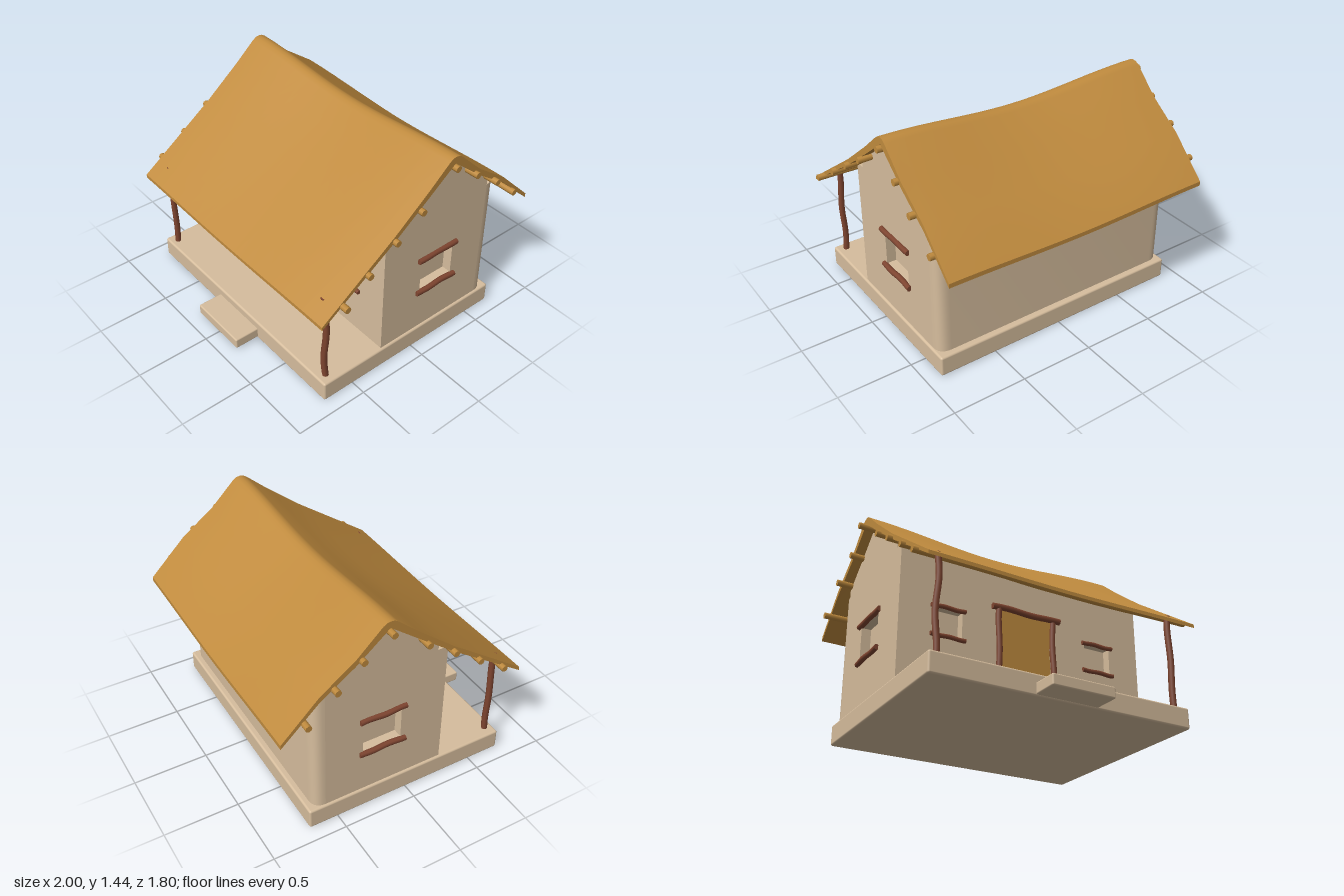
import * as THREE from 'three';
import { toCreasedNormals } from 'three/addons/utils/BufferGeometryUtils.js';
import { RoundedBoxGeometry } from 'three/addons/geometries/RoundedBoxGeometry.js';

const plaster = new THREE.MeshStandardMaterial({ name: 'clay plaster', color: 0xd6bd9d });
const thatch = new THREE.MeshStandardMaterial({ name: 'ochre thatch', color: 0xc08b3e });
const wood = new THREE.MeshStandardMaterial({ name: 'red brown wood', color: 0x7f4530 });

// The ridge sags in the middle of the house, the eaves hardly at all
function sag(x, y) {
  const c = 0.5 * (1 + Math.cos(Math.PI * Math.min(1, Math.abs(x) / 0.95)));
  return c * (0.012 + 0.058 * (y - 0.7));
}

function applySag(geometry) {
  const p = geometry.attributes.position;
  for (let i = 0; i < p.count; i++) p.setY(i, p.getY(i) - sag(p.getX(i), p.getY(i)));
  return geometry;
}

function polygon(points) {
  return new THREE.Shape(points.map(([x, y]) => new THREE.Vector2(x, y)));
}

function rectHole(cx, cy, w, h) {
  const x = w / 2, y = h / 2;
  return new THREE.Path([[-x, -y], [-x, y], [x, y], [x, -y]].map(([a, b]) => new THREE.Vector2(cx + a, cy + b)));
}

// Extrudes a side profile, drawn as (-z, y), along x
function extrudeAcross(shape, width, steps = 1) {
  const g = new THREE.ExtrudeGeometry(shape, { depth: width, steps, bevelEnabled: false });
  return g.translate(0, 0, -width / 2).rotateY(Math.PI / 2);
}

// A slightly crooked pole from a to b
function poleGeometry(a, b, radius, wobble, seed) {
  const from = new THREE.Vector3(...a), to = new THREE.Vector3(...b);
  const dir = to.clone().sub(from), length = dir.length();
  const g = new THREE.CylinderGeometry(radius, radius, length, 8, 14);
  const p = g.attributes.position;
  for (let i = 0; i < p.count; i++) {
    const t = p.getY(i) / length;
    p.setX(i, p.getX(i) + wobble * Math.sin(t * 9 + seed));
    p.setZ(i, p.getZ(i) + wobble * 0.6 * Math.cos(t * 8 + seed * 2));
  }
  g.applyQuaternion(new THREE.Quaternion().setFromUnitVectors(new THREE.Vector3(0, 1, 0), dir.normalize()));
  const mid = from.add(to).multiplyScalar(0.5);
  return g.translate(mid.x, mid.y, mid.z);
}

export function createModel() {
  const house = new THREE.Group();
  house.name = 'house';
  const add = (name, geometry, material) => {
    const mesh = new THREE.Mesh(geometry, material);
    mesh.name = name;
    house.add(mesh);
    return mesh;
  };

  // Platform and entrance step
  add('platform', new RoundedBoxGeometry(1.8, 0.14, 1.43, 3, 0.014), plaster).position.set(0, 0.07, 0.015);
  add('step', new RoundedBoxGeometry(0.43, 0.074, 0.19, 3, 0.01), plaster).position.set(-0.005, 0.048, 0.805);

  // Inner core closes the backs of the window niches
  add('wallCore', new THREE.BoxGeometry(1.64, 0.83, 0.8), plaster).position.set(0, 0.55, -0.2);

  // Front wall with two window niches
  const front = polygon([[-0.885, 0.13], [0.885, 0.13], [0.885, 1.04], [0.6, 1.03], [0, 1.01], [-0.6, 1.03], [-0.885, 1.04]]);
  for (const s of [-1, 1]) front.holes.push(rectHole(s * 0.555, 0.57, 0.2, 0.19));
  add('frontWall', new THREE.ExtrudeGeometry(front, { depth: 0.07, bevelEnabled: false }).translate(0, 0, 0.19), plaster);

  // Back wall with rounded corners, drawn as a plan in (x, -z)
  const plan = new THREE.Shape();
  plan.moveTo(-0.885, 0.58);
  plan.lineTo(0.885, 0.58);
  plan.quadraticCurveTo(0.885, 0.66, 0.8, 0.66);
  plan.lineTo(-0.8, 0.66);
  plan.quadraticCurveTo(-0.885, 0.66, -0.885, 0.58);
  const back = new THREE.ExtrudeGeometry(plan, { depth: 0.9, bevelEnabled: false, curveSegments: 8 });
  add('backWall', toCreasedNormals(back.rotateX(-Math.PI / 2).translate(0, 0.13, 0), 0.6), plaster);

  // Gable walls with one window niche each
  for (const [side, s] of [['left', 1], ['right', -1]]) {
    const gable = polygon([[-0.19, 0.13], [0.58, 0.13], [0.58, 1.08], [0.2, 1.4], [-0.19, 1.1]]);
    gable.holes.push(rectHole(0.185, 0.575, 0.27, 0.24));
    add(side + 'GableWall', extrudeAcross(gable, 0.07).translate(s * 0.85, 0, 0), plaster);
  }

  // Sagging thatched roof
  const roofProfile = polygon([
    [-0.79, 0.68], [-0.25, 1.05], [0, 1.24], [0.2, 1.395], [0.42, 1.21], [0.65, 1.05], [0.9, 0.815],
    [0.9, 0.845], [0.65, 1.09], [0.42, 1.255], [0.25, 1.42], [0.225, 1.436], [0.2, 1.44], [0.175, 1.436],
    [0.15, 1.42], [0, 1.29], [-0.25, 1.09], [-0.79, 0.705],
  ]);
  add('roof', toCreasedNormals(applySag(extrudeAcross(roofProfile, 1.9, 20)), 0.6), thatch);

  // Roof logs: z, y, right end, left end
  const logs = [
    [0.64, 0.78, 0.985, 1], [0.45, 0.91, 0.98, 0.98], [0.25, 1.05, 0.985, 0.98], [0.06, 1.18, 0.98, 0.98],
    [-0.2, 1.37, 1, 0.98], [-0.38, 1.24, 0.98, 0.98], [-0.555, 1.11, 0.995, 0.99], [-0.745, 0.94, 1, 0.98],
  ];
  logs.forEach(([z, y, r, l], i) =>
    add('roofLog', applySag(poleGeometry([-r, y, z], [l, y, z], 0.022, 0.003, i)), thatch));

  // Porch posts, door posts and lintel
  for (const s of [-1, 1]) {
    add('porchPost', poleGeometry([s * 0.832, 0.13, 0.67], [s * 0.832, 0.78, 0.67], 0.021, 0.007, s), wood);
    add('doorPost', poleGeometry([s * 0.2, 0.13, 0.273], [s * 0.2, 0.76, 0.273], 0.02, 0.005, s + 2), wood);
  }
  add('doorLintel', poleGeometry([-0.25, 0.76, 0.278], [0.25, 0.76, 0.278], 0.021, 0.003, 1), wood);

  // Door curtain with a ragged hem
  const curtain = polygon([
    [-0.19, 0.16], [-0.14, 0.19], [-0.06, 0.165], [-0.01, 0.155], [0.03, 0.19], [0.07, 0.165],
    [0.11, 0.185], [0.19, 0.16], [0.175, 0.55], [0.19, 0.76], [-0.19, 0.76],
  ]);
  add('doorCurtain', new THREE.ExtrudeGeometry(curtain, { depth: 0.008, bevelEnabled: false }).translate(0, 0, 0.26), thatch);

  // Window rails above and below each niche
  for (const s of [-1, 1]) {
    for (const y of [0.667, 0.472])
      add('frontWindowRail', poleGeometry([s * 0.555 - 0.12, y, 0.268], [s * 0.555 + 0.12, y, 0.268], 0.015, 0.003, y * 9), wood);
    for (const y of [0.705, 0.443])
      add('sideWindowRail', poleGeometry([s * 0.892, y, -0.02], [s * 0.892, y, -0.345], 0.019, 0.003, y * 7), wood);
  }
  return house;
}
